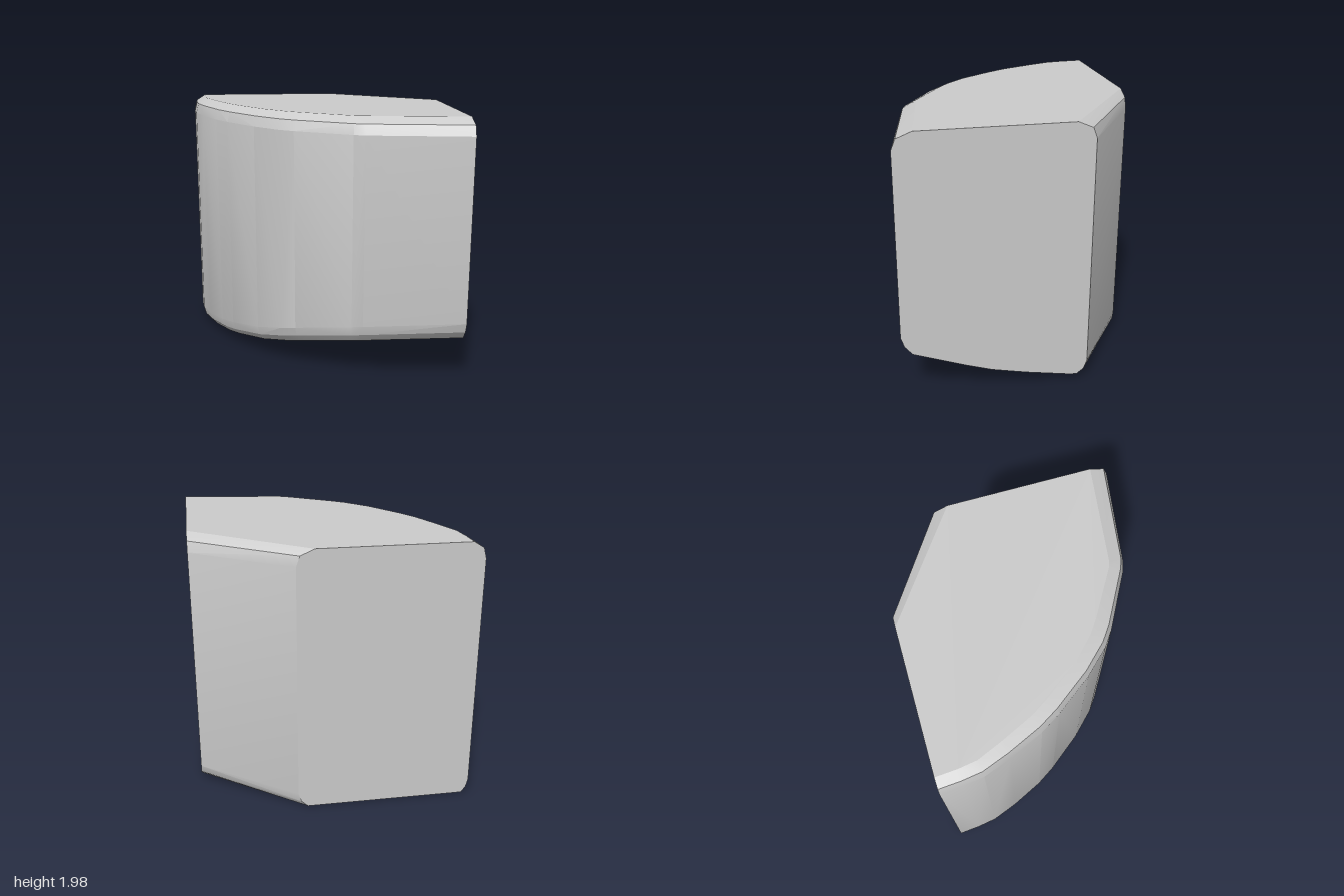
import * as THREE from 'three';
import { ConvexGeometry } from 'three/addons/geometries/ConvexGeometry.js';
import { toCreasedNormals } from 'three/addons/utils/BufferGeometryUtils.js';

// Plan outline: x, z and the direction its rounded edge moves inwards.
// The curved wall, from the left front corner round to the right back corner.
const curvedWall = [
  [1, 0.9, 0, -1], [0.26, 0.78, -0.15, -0.9], [0.18, 0.75, 0.1, -0.8],
  [-0.22, 0.53, 0.45, -0.75], [-0.33, 0.45, 0.5, -0.7], [-0.5, 0.27, 0.6, -0.5],
  [-0.7, 0, 0.7, -0.35], [-0.79, -0.15, 0.7, -0.3], [-0.9, -0.4, 0.7, -0.2],
  [-0.97, -0.6, 0.65, -0.1], [-0.99, -0.75, 0.65, 0], [-1, -0.91, 0.65, 0],
];
// The slanted wall between the flat back and the flat left side.
const slantedWall = [[0.3, -0.91, -0.9, 0], [1, -0.46, 0, 0.95]];

// Height of the sagging underside, rising towards the front.
const sag = [[-0.91, 0], [-0.33, 0.045], [0, 0.105], [0.25, 0.16], [0.45, 0.225], [0.82, 0.36], [0.91, 0.395]];
function underside(z) {
  const i = Math.max(1, sag.findIndex(([sz]) => sz >= z));
  const [z0, y0] = sag[i - 1], [z1, y1] = sag[i];
  return y0 + (y1 - y0) * (z - z0) / (z1 - z0);
}

export function createModel() {
  const points = [];
  // Rounded rims: [inset, distance from the top or underside]
  const topRim = [[0, 0.12], [0.03, 0.045], [0.14, 0]];
  const bottomRim = [[0, 0.11], [0.025, 0.045], [0.08, 0]];
  for (const [x, z, nx, nz] of [...curvedWall, ...slantedWall]) {
    for (const [d, h] of topRim) points.push(new THREE.Vector3(x + nx * d, 1.98 - h, z + nz * d));
    for (const [d, h] of bottomRim) {
      const pz = z + nz * d;
      points.push(new THREE.Vector3(x + nx * d, underside(pz) + h, pz));
    }
  }
  // Lower edge of the flat left side follows the sag
  for (const z of [-0.33, 0, 0.25, 0.45]) points.push(new THREE.Vector3(1, underside(z), z));

  const body = new THREE.Mesh(
    toCreasedNormals(new ConvexGeometry(points), 0.3),
    new THREE.MeshStandardMaterial({ color: 0xcccccc }),
  );
  body.name = 'roundedBlock';
  const group = new THREE.Group();
  group.name = 'block';
  group.add(body);
  return group;
}
